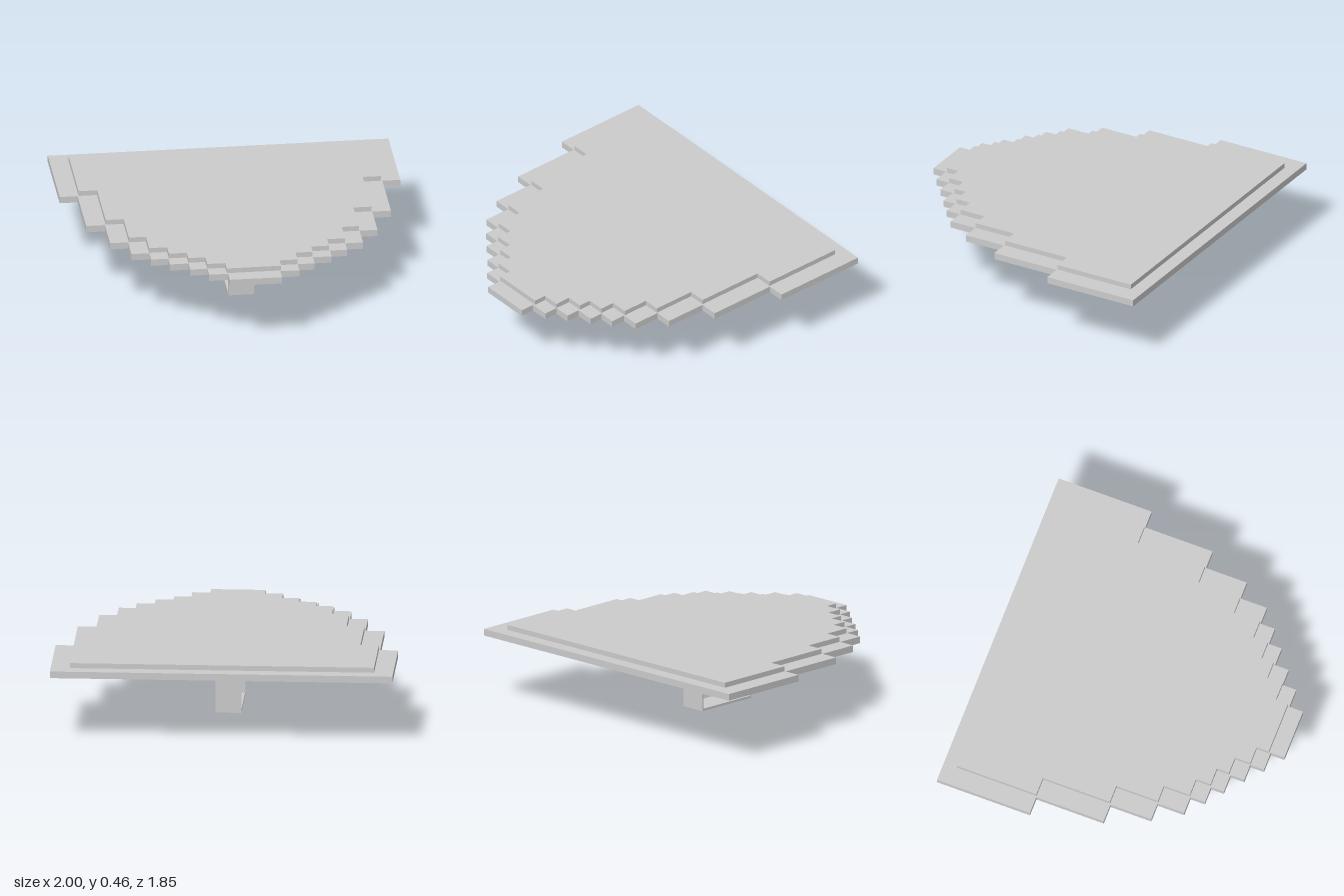
import * as THREE from 'three';

const material = new THREE.MeshStandardMaterial({ color: 0xcccccc, flatShading: true });

// Stepped slab: each step is [half width, z where that width ends]
function steppedSlab(name, backZ, steps, bottom, top) {
  const right = [];
  let z = backZ;
  for (const [w, end] of steps) {
    right.push(new THREE.Vector2(w, z), new THREE.Vector2(w, end));
    z = end;
  }
  const left = right.map((p) => new THREE.Vector2(-p.x, p.y)).reverse();
  const geometry = new THREE.ExtrudeGeometry(new THREE.Shape([...right, ...left]), {
    depth: top - bottom, bevelEnabled: false,
  });
  geometry.rotateX(Math.PI / 2).translate(0, top, 0);
  const mesh = new THREE.Mesh(geometry, material);
  mesh.name = name;
  return mesh;
}

// Profile in (z, y), extruded across x and centred
function acrossX(name, points, width) {
  const shape = new THREE.Shape(points.map(([z, y]) => new THREE.Vector2(z, y)));
  const geometry = new THREE.ExtrudeGeometry(shape, { depth: width, bevelEnabled: false });
  geometry.translate(0, 0, -width / 2).rotateY(-Math.PI / 2);
  const mesh = new THREE.Mesh(geometry, material);
  mesh.name = name;
  return mesh;
}

export function createModel() {
  const group = new THREE.Group();
  group.name = 'steppedShield';

  // Wide rim layer
  group.add(steppedSlab('rimPlate', -0.925, [
    [1, -0.345], [0.895, 0.075], [0.785, 0.33], [0.68, 0.495], [0.575, 0.585],
    [0.475, 0.665], [0.365, 0.75], [0.265, 0.835], [0.153, 0.92],
  ], 0.392, 0.432));

  // Smaller raised face
  group.add(steppedSlab('facePlate', -0.843, [
    [0.888, -0.347], [0.78, 0.07], [0.675, 0.33], [0.575, 0.49], [0.47, 0.58],
    [0.365, 0.655], [0.265, 0.75], [0.16, 0.825],
  ], 0.432, 0.462));

  // U-shaped grip strap
  const outer = 0.203, inner = 0.193;
  group.add(acrossX('gripStrap', [
    [-outer, 0], [outer, 0], [outer, 0.393], [inner, 0.393],
    [inner, 0.014], [-inner, 0.014], [-inner, 0.393], [-outer, 0.393],
  ], 0.152));

  // Mounting tabs with softened lower edges
  for (const side of [-1, 1]) {
    const tab = [[0.2, 0.393], [0.2, 0.382], [0.215, 0.378], [0.245, 0.378], [0.26, 0.385], [0.26, 0.393]];
    group.add(acrossX(side > 0 ? 'frontTab' : 'backTab', tab.map(([z, y]) => [side * z, y]), 0.148));
  }
  return group;
}
